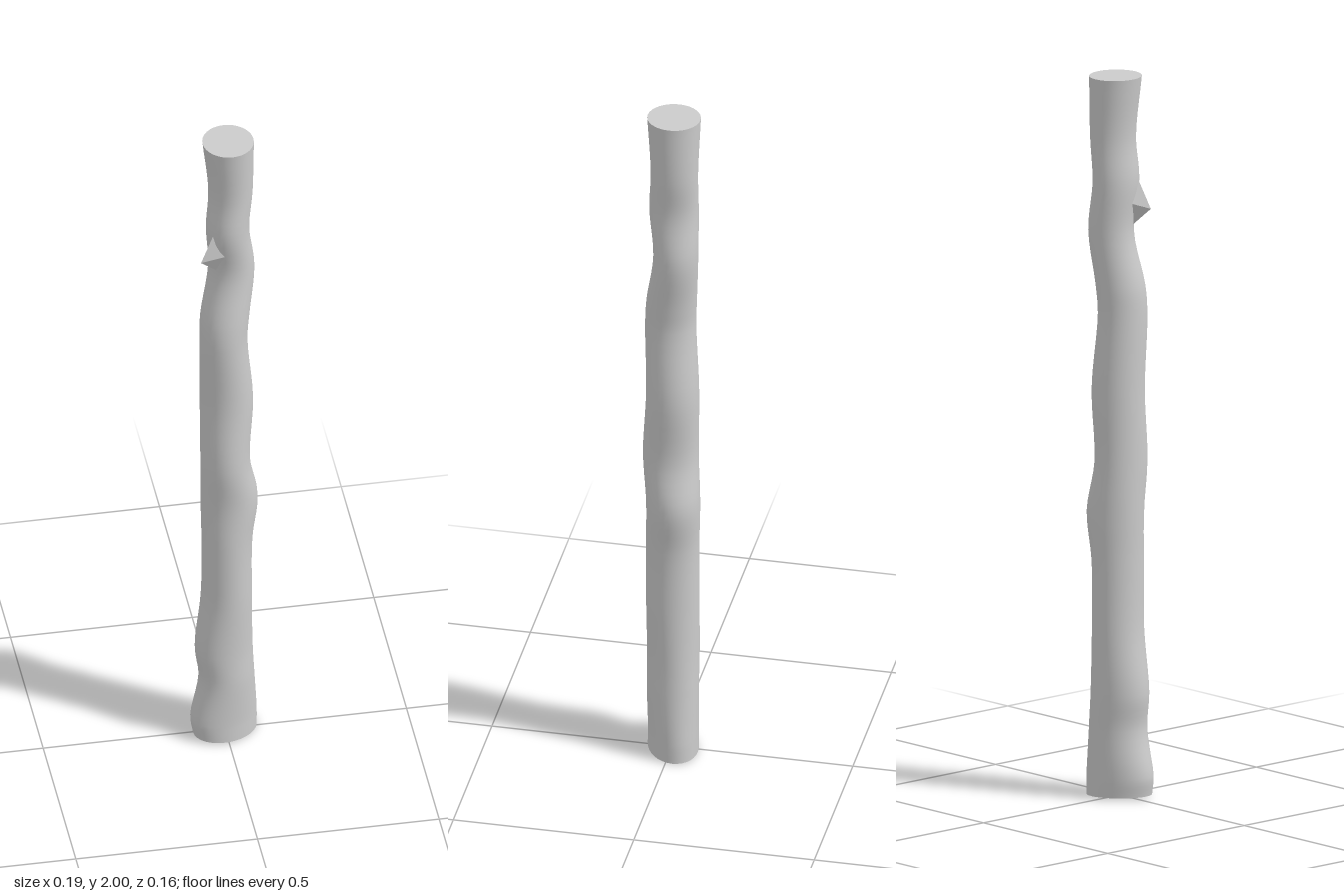
import * as THREE from 'three';

// Stations up the trunk: y, min x, max x, min z, max z, skew of the oval
const stations = [
  [0.005, -0.09, 0.09, -0.075, 0.07, 0.22],
  [0.06, -0.097, 0.09, -0.075, 0.07, 0.22],
  [0.19, -0.073, 0.082, -0.075, 0.07, 0.12],
  [0.29, -0.083, 0.077, -0.075, 0.07, 0.1],
  [0.46, -0.065, 0.074, -0.075, 0.07, 0],
  [0.65, -0.063, 0.075, -0.075, 0.07, 0],
  [0.79, -0.066, 0.091, -0.079, 0.069, 0.05],
  [0.93, -0.067, 0.067, -0.072, 0.08, 0],
  [1.13, -0.068, 0.077, -0.074, 0.07, 0],
  [1.34, -0.07, 0.06, -0.064, 0.075, 0],
  [1.42, -0.067, 0.066, -0.067, 0.07, 0],
  [1.57, -0.043, 0.083, -0.075, 0.047, 0],
  [1.71, -0.05, 0.067, -0.074, 0.061, 0],
  [1.83, -0.043, 0.077, -0.074, 0.055, 0],
  [2, -0.06, 0.08, -0.08, 0.066, 0],
];

function sampleRings(steps) {
  // Smooth interpolation of every column along the stations
  const curve = (c) => new THREE.CatmullRomCurve3(
    stations.map((s) => new THREE.Vector3(s[0], s[c], s[c + 1])), false, 'centripetal');
  const xs = curve(1), zs = curve(3);
  const rings = [];
  const last = stations.length - 1;
  for (let i = 0; i <= steps; i++) {
    const t = i / steps;
    const px = xs.getPoint(t), pz = zs.getPoint(t);
    const k = Math.min(last - 1, Math.floor(t * last)), f = t * last - k;
    rings.push({
      y: px.x, cx: (px.y + px.z) / 2, rx: (px.z - px.y) / 2,
      cz: (pz.y + pz.z) / 2, rz: (pz.z - pz.y) / 2,
      skew: stations[k][5] * (1 - f) + stations[k + 1][5] * f,
    });
  }
  return rings;
}

function ringPoint(r, a) {
  // The foot is cut at a slight slant
  const x = r.cx + r.rx * Math.cos(a);
  const tilt = 0.05 * Math.max(0, 1 - r.y / 0.1);
  return [x, Math.max(0, r.y - x * tilt), r.cz + r.rz * Math.sin(a - r.skew)];
}

function buildTrunk(rings, sides) {
  const pos = [], idx = [];
  for (const r of rings) {
    for (let j = 0; j < sides; j++) pos.push(...ringPoint(r, (j / sides) * Math.PI * 2));
  }
  for (let i = 0; i < rings.length - 1; i++) {
    for (let j = 0; j < sides; j++) {
      const n = (j + 1) % sides;
      const a = i * sides + j, b = i * sides + n, c = a + sides, d = b + sides;
      idx.push(a, c, b, b, c, d);
    }
  }
  return finish(pos, idx);
}

function buildCap(r, sides, up) {
  const pos = [r.cx, r.y - (up ? 0 : r.cx * 0.05), r.cz], idx = [];
  for (let j = 0; j < sides; j++) {
    pos.push(...ringPoint(r, (j / sides) * Math.PI * 2));
    const a = j + 1, b = ((j + 1) % sides) + 1;
    idx.push(0, up ? b : a, up ? a : b);
  }
  return finish(pos, idx);
}

function finish(pos, idx) {
  const g = new THREE.BufferGeometry();
  g.setAttribute('position', new THREE.Float32BufferAttribute(pos, 3));
  g.setIndex(idx);
  g.computeVertexNormals();
  return g;
}

export function createModel() {
  const group = new THREE.Group();
  group.name = 'woodenPole';
  const material = new THREE.MeshStandardMaterial({ color: 0xcccccc });
  const add = (name, geometry, mat = material) => {
    const mesh = new THREE.Mesh(geometry, mat);
    mesh.name = name;
    group.add(mesh);
    return mesh;
  };

  // Crooked trunk with flat sawn ends
  const sides = 32, rings = sampleRings(70);
  add('trunk', buildTrunk(rings, sides));
  add('topCut', buildCap(rings[rings.length - 1], sides, true));
  add('bottomCut', buildCap(rings[0], sides, false));

  // Broken twig: a faceted spur leaning out from the trunk
  const tip = [-0.074, 1.635, 0.046];
  const spur = [...tip,
    -0.03, 1.73, 0.03, // above
    -0.045, 1.65, 0.005, // back side
    -0.025, 1.585, 0.022, // below
    -0.008, 1.65, 0.05, // front side
  ];
  const spurGeometry = finish(spur, [0, 1, 2, 0, 2, 3, 0, 3, 4, 0, 4, 1]);
  const spurMaterial = material.clone();
  spurMaterial.flatShading = true;
  add('twigStub', spurGeometry, spurMaterial);

  return group;
}
